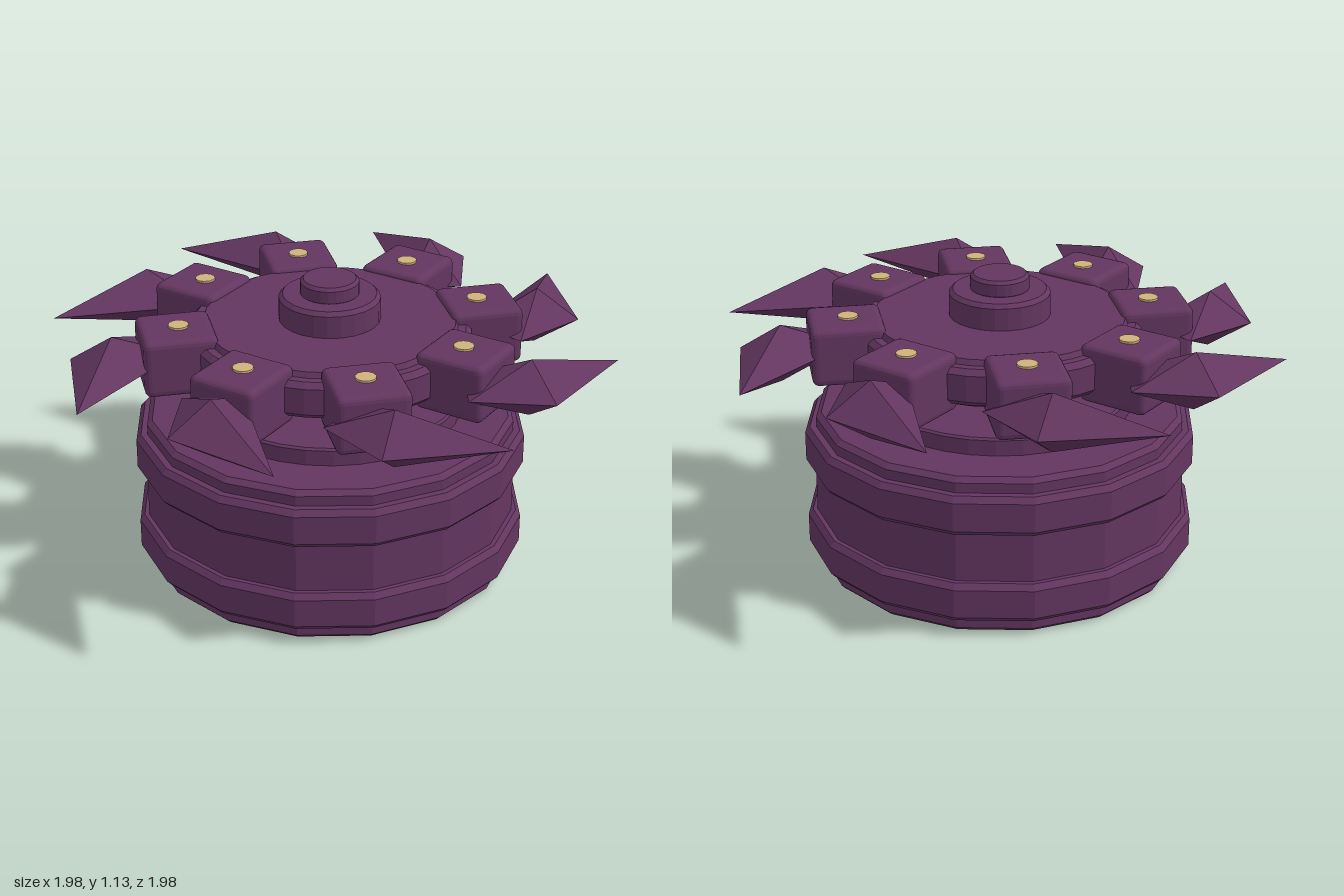
import * as THREE from 'three';
import { RoundedBoxGeometry } from 'three/addons/geometries/RoundedBoxGeometry.js';

const purple = new THREE.MeshStandardMaterial({ color: 0x633660, flatShading: true });
purple.name = 'purple metal';
const gold = new THREE.MeshStandardMaterial({ color: 0xcfb27c, flatShading: true });
gold.name = 'pale gold';

function add(parent, name, geometry, material = purple) {
  const mesh = new THREE.Mesh(geometry, material);
  mesh.name = name;
  parent.add(mesh);
  return mesh;
}

// Turned part from [radius, height] pairs, listed bottom to top
function turned(profile, sides) {
  return new THREE.LatheGeometry(profile.map(([r, y]) => new THREE.Vector2(r, y)), sides);
}

// Disc with chamfered rims
function chamferedDisc(r, y0, y1, c, sides) {
  return turned([[0, y0], [r - c, y0], [r, y0 + c], [r, y1 - c], [r - c, y1], [0, y1]], sides);
}

// Swept spike: a four-cornered outline at mid height with a peak above and below
function bladeGeometry() {
  const midY = 0.88, half = 0.11;
  const ring = [[0.41, 0.99], [-0.04, 0.965], [-0.18, 0.69], [0, 0.57]]
    .map(([x, z]) => [x, midY, z]);
  const top = [0.04, midY + half, 0.82];
  const bottom = [0.04, midY - half, 0.82];
  const positions = [];
  ring.forEach((p, i) => {
    const q = ring[(i + 1) % ring.length];
    positions.push(...q, ...p, ...top, ...p, ...q, ...bottom);
  });
  const geometry = new THREE.BufferGeometry();
  geometry.setAttribute('position', new THREE.Float32BufferAttribute(positions, 3));
  geometry.computeVertexNormals();
  return geometry;
}

export function createModel() {
  const model = new THREE.Group();
  model.name = 'bladedRotor';

  // Faceted drum with two raised bands
  add(model, 'drum', turned([
    [0, 0], [0.685, 0], [0.7, 0.015], [0.7, 0.06],
    [0.725, 0.06], [0.743, 0.08], [0.743, 0.19], [0.725, 0.212], [0.708, 0.212],
    [0.708, 0.405], [0.725, 0.405], [0.743, 0.425], [0.743, 0.535], [0.725, 0.557],
    [0.7, 0.557], [0.7, 0.595], [0.68, 0.613], [0, 0.613],
  ], 16));
  add(model, 'drumLid', chamferedDisc(0.5, 0.6, 0.68, 0.008, 32));

  // Central shaft and cap
  add(model, 'shaft', chamferedDisc(0.19, 0.67, 1.07, 0.015, 24));
  add(model, 'shaftCap', chamferedDisc(0.11, 1.06, 1.13, 0.012, 24));

  // Rotor disc with a stepped rim
  add(model, 'rotorDisc', turned([
    [0, 0.79], [0.47, 0.79], [0.48, 0.81], [0.51, 0.81], [0.53, 0.83],
    [0.53, 0.93], [0.51, 0.95], [0.48, 0.95], [0.47, 0.97], [0, 0.97],
  ], 32));

  // Eight blade holders, each with a pin and a swept blade
  const holder = new RoundedBoxGeometry(0.27, 0.22, 0.275, 2, 0.025);
  const pin = new THREE.CylinderGeometry(0.038, 0.038, 0.02, 12);
  const blade = bladeGeometry();
  for (let i = 0; i < 8; i++) {
    const arm = new THREE.Group();
    arm.name = 'bladeArm' + (i + 1);
    arm.rotation.y = i * Math.PI / 4;
    add(arm, 'bladeHolder', holder).position.set(0, 0.88, 0.577);
    add(arm, 'holderPin', pin, gold).position.set(0, 0.988, 0.568);
    add(arm, 'blade', blade);
    model.add(arm);
  }
  return model;
}
